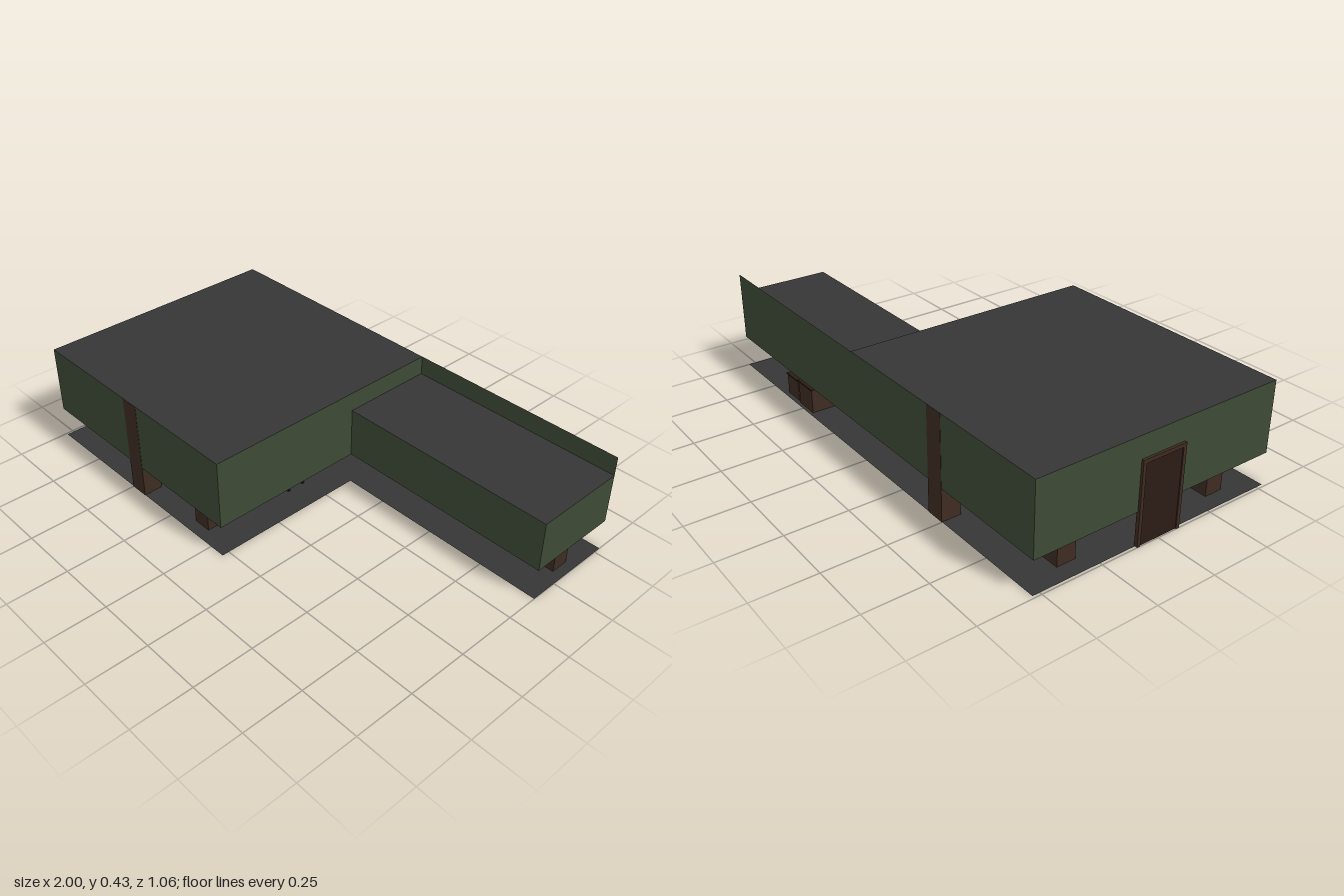
import * as THREE from 'three';

const mat = (name, color, side = THREE.FrontSide) => {
  const m = new THREE.MeshStandardMaterial({ color, side });
  m.name = name;
  return m;
};

export function createModel() {
  const model = new THREE.Group();
  model.name = 'building';
  const wallGreen = mat('wall green', 0x3d4a35, THREE.DoubleSide);
  const slate = mat('slate grey', 0x363636, THREE.DoubleSide);
  const wood = mat('brown wood', 0x3e2c22);
  const darkWood = mat('dark wood', 0x2c1c16);
  const black = mat('black', 0x1a1a1a);
  const display = mat('display teal', 0x2a3a3a);

  // Box given by its lower and upper limits on each axis
  const box = (name, material, [x0, x1], [y0, y1], [z0, z1], parent = model) => {
    const mesh = new THREE.Mesh(new THREE.BoxGeometry(x1 - x0, y1 - y0, z1 - z0), material);
    mesh.position.set((x0 + x1) / 2, (y0 + y1) / 2, (z0 + z1) / 2);
    mesh.name = name;
    parent.add(mesh);
    return mesh;
  };
  // Upright wall sheet between two plan points
  const wall = (name, [xa, za], [xb, zb], top) => {
    const g = new THREE.PlaneGeometry(Math.hypot(xb - xa, zb - za), top - BASE);
    const mesh = new THREE.Mesh(g, wallGreen);
    mesh.rotation.y = -Math.atan2(zb - za, xb - xa);
    mesh.position.set((xa + xb) / 2, (BASE + top) / 2, (za + zb) / 2);
    mesh.name = name;
    model.add(mesh);
  };
  // Level sheet from a plan outline
  const slab = (name, points, y) => {
    const shape = new THREE.Shape(points.map(([x, z]) => new THREE.Vector2(x, -z)));
    const mesh = new THREE.Mesh(new THREE.ShapeGeometry(shape), slate);
    mesh.rotation.x = -Math.PI / 2;
    mesh.position.y = y;
    mesh.name = name;
    model.add(mesh);
  };

  const BASE = 0.135, HIGH = 0.425, LOW = 0.345;
  const L = -0.99, M = 0.07, R = 1, F = 0.53, W = -0.135, B = -0.53;

  // Floor and the two roofs
  slab('floor', [[L, F], [M, F], [M, W], [R, W], [R, B], [L, B]], 0.001);
  slab('mainRoof', [[L, F], [M, F], [M, B], [L, B]], HIGH);
  slab('wingRoof', [[M, W], [R, W], [R, B], [M, B]], LOW);

  // Raised wall sheets, open underneath
  wall('frontWall', [L, F], [M, F], HIGH);
  wall('rightWall', [L, B], [L, F], HIGH);
  wall('mainLeftWall', [M, F], [M, W], HIGH);
  wall('backWall', [R, B], [L, B], HIGH);
  wall('wingFrontWall', [M, W], [R, W], LOW);
  wall('wingLeftWall', [R, W], [R, B], LOW);
  // Step between the two roofs
  const step = new THREE.Mesh(new THREE.PlaneGeometry(W - B, HIGH - LOW), wallGreen);
  step.rotation.y = Math.PI / 2;
  step.position.set(M, (HIGH + LOW) / 2, (W + B) / 2);
  step.name = 'roofStep';
  model.add(step);

  // Full height columns set into the front and back walls
  box('frontColumn', wood, [-0.5, -0.42], [0, 0.424], [0.45, 0.531]);
  box('backColumn', wood, [-0.5, -0.42], [0, 0.424], [-0.531, -0.45]);

  // Door with frame
  const door = new THREE.Group();
  door.name = 'door';
  model.add(door);
  box('doorPanel', darkWood, [-0.996, -0.986], [0, 0.32], [-0.085, 0.085], door);
  for (const s of [-1, 1]) {
    const z = s * 0.09;
    box('doorPost', wood, [-1, -0.985], [0, 0.335], [z - 0.007, z + 0.007], door);
  }
  box('doorLintel', wood, [-1, -0.985], [0.32, 0.335], [-0.083, 0.083], door);

  // Pedestals carrying tilted screens that face into the room
  const kiosk = (x, z, turn) => {
    const g = new THREE.Group();
    g.name = 'kiosk';
    box('pedestal', wood, [-0.039, 0.039], [0, 0.12], [-0.039, 0.039], g);
    const screen = new THREE.Group();
    screen.name = 'screen';
    box('screenCase', black, [-0.047, 0.047], [0, 0.07], [-0.004, 0.004], screen);
    box('screenFace', display, [-0.042, 0.042], [0.004, 0.066], [0.004, 0.006], screen);
    screen.position.set(0, 0.121, 0.015);
    screen.rotation.x = -0.9;
    g.add(screen);
    g.position.set(x, 0, z);
    g.rotation.y = turn;
    model.add(g);
  };
  kiosk(-0.885, 0.347, Math.PI / 2);
  kiosk(-0.885, -0.338, Math.PI / 2);
  kiosk(0.92, -0.338, -Math.PI / 2);
  kiosk(-0.118, 0.44, Math.PI);

  // Table with four thin legs and a small tray
  const table = new THREE.Group();
  table.name = 'table';
  model.add(table);
  box('tableTop', darkWood, [-0.25, -0.04], [0.095, 0.103], [0.005, 0.105], table);
  box('tray', black, [-0.225, -0.17], [0.103, 0.11], [0.03, 0.08], table);
  for (const x of [-0.238, -0.052]) for (const z of [0.017, 0.093])
    box('tableLeg', black, [x - 0.005, x + 0.005], [0, 0.095], [z - 0.005, z + 0.005], table);

  // Counter with a box on top, and a low cabinet beside it
  box('counter', wood, [0.44, 0.548], [0, 0.1], [-0.515, -0.405]);
  box('counterTop', darkWood, [0.436, 0.552], [0.1, 0.106], [-0.518, -0.4]);
  box('counterBox', darkWood, [0.45, 0.537], [0.106, 0.145], [-0.5, -0.42]);
  box('cabinet', wood, [0.567, 0.657], [0, 0.088], [-0.51, -0.41]);
  box('cabinetTop', darkWood, [0.564, 0.66], [0.088, 0.094], [-0.513, -0.407]);

  return model;
}
